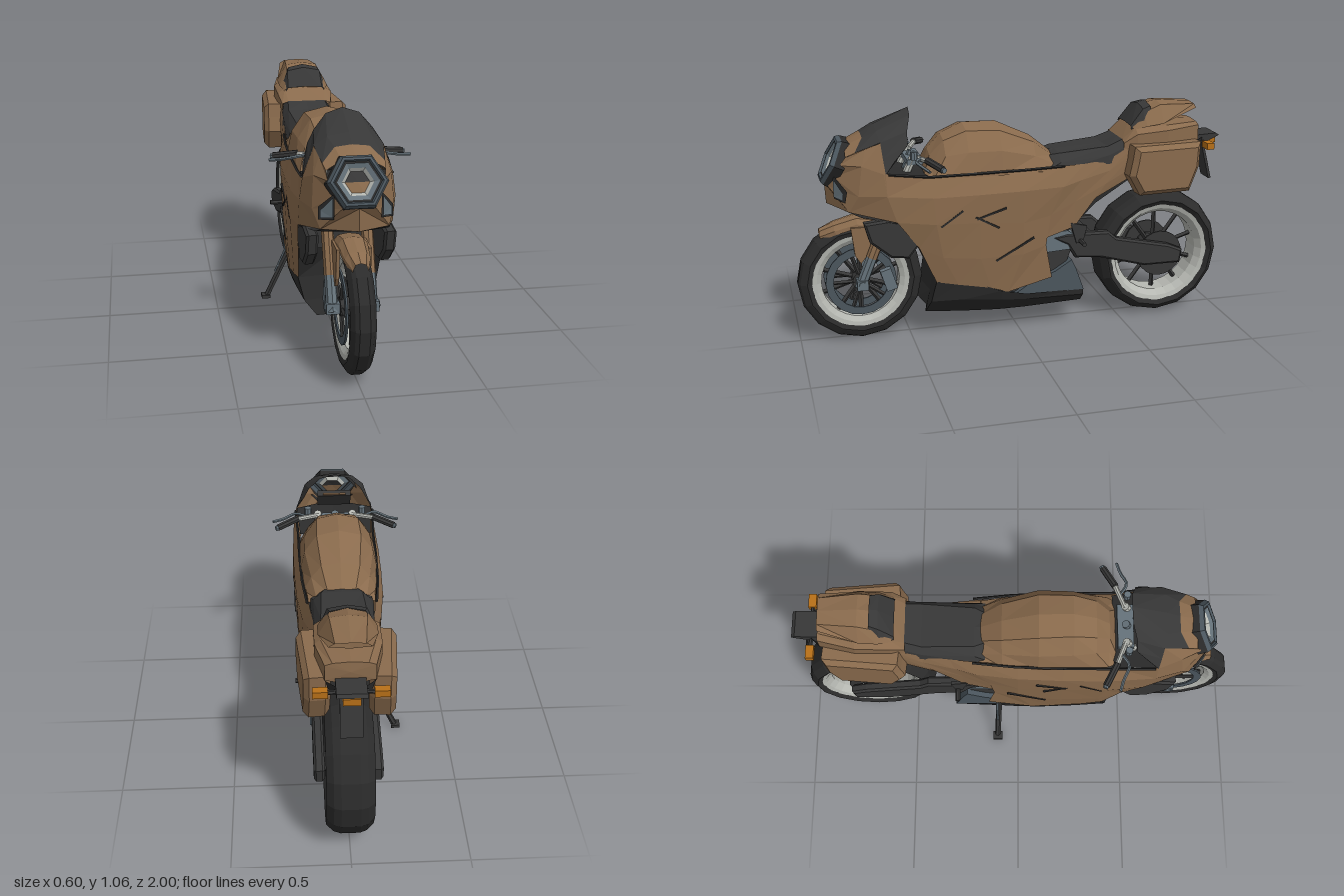
import * as THREE from 'three';

const mat = (name, color) => Object.assign(
  new THREE.MeshStandardMaterial({ color, flatShading: true, side: THREE.DoubleSide }), { name });

export function createModel() {
  const bronze = mat('bronze paint', 0x8a6b4d), black = mat('matt black', 0x2b2b2b),
    dark = mat('charcoal', 0x373737), steel = mat('blue grey steel', 0x66737b),
    gunmetal = mat('gunmetal', 0x4b565e), silver = mat('light alloy', 0xb6b8b2), orange = mat('amber', 0xb87018);
  const root = new THREE.Group();

  const add = (name, geo, m, parent = root) => {
    const mesh = new THREE.Mesh(geo, m);
    mesh.name = name;
    parent.add(mesh);
    return mesh;
  };
  // Skin over rows of [x,y,z] points (front to back, top to bottom), mirrored in x
  const skin = (name, rows, m) => {
    const v = [];
    for (const s of [1, -1]) for (let i = 0; i + 1 < rows.length; i++)
      for (let j = 0; j + 1 < Math.min(rows[i].length, rows[i + 1].length); j++) {
        const a = rows[i][j], b = rows[i][j + 1], c = rows[i + 1][j + 1], d = rows[i + 1][j];
        for (const p of s > 0 ? [a, b, d, b, c, d] : [a, d, b, b, d, c]) v.push(s * p[0], p[1], p[2]);
      }
    const g = new THREE.BufferGeometry();
    g.setAttribute('position', new THREE.Float32BufferAttribute(v, 3));
    g.computeVertexNormals();
    return add(name, g, m);
  };
  const loft = (name, stations, m) =>
    skin(name, stations.map(([z, pts]) => pts.map(([x, y]) => [x, y, z])), m);
  // Side outline of [z,y] points extruded from x0 to x1
  const plate = (name, pts, x0, x1, m, bevel = 0) => {
    const g = new THREE.ExtrudeGeometry(new THREE.Shape(pts.map(p => new THREE.Vector2(...p))), {
      depth: x1 - x0 - 2 * bevel, bevelEnabled: bevel > 0, bevelSize: bevel, bevelOffset: -bevel,
      bevelThickness: bevel, bevelSegments: 1 });
    return add(name, g.rotateY(-Math.PI / 2).translate(x1 - bevel, 0, 0), m);
  };
  const plates = (name, pts, x0, x1, m, bevel) => [
    plate(name + 'Left', pts, x0, x1, m, bevel), plate(name + 'Right', pts, -x1, -x0, m, bevel)];
  const box = (name, x, y, z, w, h, d, m, rx = 0) => {
    const b = add(name, new THREE.BoxGeometry(w, h, d), m);
    b.position.set(x, y, z);
    b.rotation.x = rx;
    return b;
  };
  const rod = (name, a, b, r, m, sides = 8, parent = root) => {
    const p = new THREE.Vector3(...a), q = new THREE.Vector3(...b), dir = q.clone().sub(p);
    const c = add(name, new THREE.CylinderGeometry(r, r, dir.length(), sides), m, parent);
    c.position.copy(p).add(q).multiplyScalar(0.5);
    c.quaternion.setFromUnitVectors(new THREE.Vector3(0, 1, 0), dir.normalize());
    return c;
  };

  // Wheels: tyre, alloy rim, spokes, hub and brake discs
  const wheel = (name, y, z, R, w, discR, discIn, discMat) => {
    const g = new THREE.Group();
    g.name = name;
    g.position.set(0, y, z);
    root.add(g);
    const ring = (part, pts, m, n = 16) => add(part, new THREE.LatheGeometry(
      pts.map(p => new THREE.Vector2(...p)), n).rotateZ(Math.PI / 2), m, g);
    const r = R - 0.07;
    ring('tyre', [[r, -w * .8], [r + .03, -w], [R - .035, -w * .97], [R - .01, -w * .7], [R, -w * .4],
      [R, w * .4], [R - .01, w * .7], [R - .035, w * .97], [r + .03, w], [r, w * .8], [r, -w * .8]], black);
    ring('rim', [[r + .008, -w * .87], [r - .012, -w * .8], [r - .035, -w * .5], [r - .035, w * .5],
      [r - .012, w * .8], [r + .008, w * .87]], silver, 28);
    for (let i = 0; i < 10; i++) {
      const t = (i + .5) * Math.PI / 5, s = Math.sin(t), c = Math.cos(t);
      rod('spoke', [0, s * .03, c * .03], [0, s * (r - .03), c * (r - .03)], .011, dark, 4, g);
    }
    rod('hub', [-w, 0, 0], [w, 0, 0], .04, dark, 12, g);
    rod('axle', [-.115, 0, 0], [.115, 0, 0], .018, steel, 8, g);
    for (const s of [-1, 1]) {
      const a = s * w * .85, b = s * (w * .85 + .008);
      ring('brakeDisc', [[discR, a], [discR, b], [discIn, b], [discIn, a], [discR, a]], discMat, 20);
      for (let i = 0; i < 5; i++) {
        const t = i * Math.PI * .4;
        rod('discArm', [a, Math.sin(t) * .03, Math.cos(t) * .03],
          [a, Math.sin(t) * discIn, Math.cos(t) * discIn], .009, dark, 4, g);
      }
    }
  };
  wheel('frontWheel', .29, .72, .281, .053, .16, .125, gunmetal);
  wheel('rearWheel', .312, -.695, .302, .1, .11, .05, dark);

  // Main side fairing, each row running top to bottom
  skin('sideFairing', [
    [[.185, .82, .62], [.2, .72, .61], [.2, .6, .57], [.185, .47, .475], [.175, .3, .4]],
    [[.175, .79, .42], [.207, .7, .41], [.21, .58, .4], [.197, .42, .37], [.18, .28, .3]],
    [[.17, .79, .2], [.205, .7, .2], [.203, .57, .2], [.195, .4, .2], [.178, .25, .15]],
    [[.16, .79, 0], [.197, .7, 0], [.192, .55, 0], [.185, .4, 0], [.173, .22, .07]],
    [[.145, .79, -.2], [.175, .7, -.19], [.172, .57, -.13], [.17, .43, -.11], [.165, .27, -.14]]], bronze);
  skin('tailSidePanel', [
    [[.145, .79, -.2], [.175, .7, -.19], [.172, .57, -.13], [.168, .46, -.1]],
    [[.135, .79, -.3], [.155, .72, -.28], [.155, .62, -.25], [.15, .5, -.25]],
    [[.125, .80, -.42], [.135, .75, -.42], [.14, .69, -.4], [.14, .62, -.34]],
    [[.12, .88, -.56], [.125, .84, -.56], [.125, .77, -.56], [.12, .71, -.53]]], bronze);
  // Dark seam between fairing and tank
  for (const s of [-1, 1]) {
    const seam = [[.189, .815, .6], [.18, .79, .42], [.178, .79, .2], [.17, .79, -.02], [.152, .79, -.2]];
    for (let i = 0; i < 4; i++)
      rod('seam', [s * seam[i][0], ...seam[i].slice(1)], [s * seam[i + 1][0], ...seam[i + 1].slice(1)], .006, black, 4);
  }
  // Nose cowl and cheeks around the headlight
  skin('noseCowl', [
    [[.118, .885, .775], [.115, .85, .8], [.09, .795, .825], [.065, .75, .85], [0, .75, .86]],
    [[.132, .92, .69], [.158, .85, .71], [.167, .72, .73], [.14, .645, .77], [0, .655, .855]],
    [[.142, .945, .625], [.187, .815, .612], [.2, .72, .61], [.2, .6, .57]]], bronze);
  skin('noseTop', [[[0, .925, .775], [.055, .922, .772], [.118, .885, .775]],
    [[0, .965, .695], [.07, .957, .695], [.126, .904, .735]]], bronze);
  skin('noseUnderside', [[[.141, .645, .77], [0, .655, .855]], [[.15, .62, .72], [0, .63, .78]],
    [[.198, .595, .57], [0, .62, .55]]], black);
  skin('sideLampFrame', [[[.094, .805, .828], [.094, .7, .828]], [[.15, .74, .776], [.15, .69, .786]]], black);
  skin('sideLamp', [[[.1, .79, .83], [.1, .708, .83]], [[.144, .73, .792], [.144, .7, .796]]], steel);
  plates('airInlet', [[.715, .6], [.56, .615], [.47, .56], [.46, .5], [.52, .425], [.6, .435], [.69, .51]], .135, .186, dark, .01);

  // Hexagonal headlight on a sloped face
  const hex = (r, d) => [[0, .866], [.5, .866], [1, 0], [.5, -.866], [0, -.866]].map(([x, u]) =>
    [x * r, .845 + u * r * .88 + d * .38, .815 - u * r * .42 + d * .92]);
  const lens = hex(.05, -.005), mid = [0, .845, .815];
  skin('headlightLens', [[mid, mid, mid], lens.slice(2)], bronze);
  skin('headlightHood', [[mid, mid, mid], lens.slice(0, 3)], dark);
  skin('headlightReflector', [hex(.05, -.005), hex(.064, .01)], silver);
  skin('headlightInnerRing', [hex(.064, .01), hex(.085, .02)], steel);
  skin('headlightGroove', [hex(.085, .02), hex(.094, .02)], black);
  skin('headlightFrame', [hex(.094, .02), hex(.1, .03), hex(.112, .028), hex(.123, .01)], gunmetal);
  skin('headlightSurround', [hex(.123, .01), hex(.128, -.035)], black);

  // Windscreen sunk between the cheeks, with side wings
  skin('windscreen', [
    [[0, .965, .695], [.07, .957, .695], [.126, .904, .735]],
    [[0, 1.0, .635], [.09, .985, .635], [.142, .946, .625]],
    [[0, 1.067, .48], [.07, 1.045, .485], [.122, .985, .505]]], dark);
  skin('windscreenWing', [
    [[.142, .946, .625], [.165, .88, .619], [.188, .815, .612]],
    [[.122, .985, .505], [.15, .93, .508], [.178, .87, .57]]], dark);
  // Cockpit
  skin('cockpitFloor', [[[0, .82, .7], [.183, .82, .62]], [[0, .78, .42], [.17, .785, .42]]], black);
  box('instrumentPanel', 0, .885, .6, .16, .09, .03, dark, -.6);
  box('instrumentScreen', 0, .9, .58, .11, .06, .008, bronze, -.6);
  box('topYoke', 0, .84, .47, .2, .025, .07, steel);
  rod('steeringStem', [0, .78, .5], [0, .87, .47], .018, steel);

  // Tank, seat and tail
  loft('tank', [
    [.43, [[0, .79], [.06, .79], [.1, .785], [.15, .77]]],
    [.4, [[0, .875], [.065, .86], [.11, .81], [.165, .775]]],
    [.34, [[0, .94], [.085, .925], [.135, .865], [.175, .775]]],
    [.24, [[0, .986], [.095, .965], [.15, .88], [.178, .775]]],
    [.09, [[0, .984], [.1, .96], [.155, .88], [.178, .775]]],
    [-.07, [[0, .91], [.085, .895], [.13, .84], [.165, .775]]],
    [-.17, [[0, .83], [.06, .82], [.11, .79], [.15, .77]]]], bronze);
  loft('seat', [
    [-.12, [[0, .83], [.06, .82], [.1, .79], [.14, .77]]],
    [-.19, [[0, .838], [.09, .835], [.125, .8], [.14, .77]]],
    [-.42, [[0, .852], [.1, .855], [.125, .82], [.13, .78]]],
    [-.5, [[0, .885], [.09, .885], [.115, .85], [.125, .8]]],
    [-.57, [[0, .93], [.075, .925], [.1, .88], [.12, .83]]]], dark);
  loft('tailBody', [
    [-.49, [[0, .88], [.09, .88], [.12, .87], [.12, .83], [0, .83]]],
    [-.55, [[0, .94], [.1, .935], [.135, .91], [.135, .84], [0, .82]]],
    [-.7, [[0, .95], [.11, .94], [.135, .92], [.135, .84], [0, .82]]],
    [-.86, [[0, .945], [.07, .94], [.1, .93], [.1, .86], [0, .84]]],
    [-.865, [[0, .9], [0, .9], [0, .9], [0, .9], [0, .9]]]], bronze);
  loft('tailHump', [
    [-.54, [[0, .945], [.09, .94], [.105, .925], [0, .92]]],
    [-.6, [[0, 1.02], [.08, 1.0], [.12, .94], [0, .93]]],
    [-.68, [[0, 1.04], [.075, 1.03], [.12, .95], [0, .93]]],
    [-.85, [[0, 1.025], [.06, 1.022], [.085, 1.008], [0, 1.0]]]], bronze);
  loft('backrestPad', [
    [-.532, [[0, .945], [.085, .94], [.095, .925]]],
    [-.592, [[0, 1.03], [.08, 1.015], [.1, .965]]],
    [-.63, [[0, 1.04], [.07, 1.025], [.085, 1.0]]]], dark);
  skin('undertray', [
    [[.13, .75, -.2], [.13, .47, -.22], [0, .47, -.22]],
    [[.125, .78, -.38], [.125, .6, -.36], [0, .6, -.36]],
    [[.115, .84, -.55], [.11, .7, -.53], [0, .7, -.53]],
    [[.1, .86, -.86], [.08, .8, -.86], [0, .78, -.86]],
    [[.06, .86, -.9], [.05, .82, -.9], [0, .82, -.9]]], black);
  // Panniers, toed in slightly to the rear
  plates('pannier', [[-.52, .865], [-.85, .865], [-.845, .75], [-.8, .635], [-.55, .635], [-.495, .73], [-.51, .8]],
    .095, .203, bronze, .022).forEach((m, i) => {
    const s = i ? -1 : 1;
    m.rotation.y = s * .08;
    m.position.set(s * .047, 0, .012);
  });

  // Tail rack, plate and indicators
  plate('tailBracket', [[-.85, .87], [-.97, .875], [-.985, .865], [-.92, .835], [-.87, .81]], -.06, .06, dark);
  box('tailLamp', 0, .84, -.96, .07, .03, .035, orange);
  box('numberPlate', 0, .75, -.93, .09, .2, .012, dark, .25);
  for (const s of [-1, 1]) {
    rod('indicatorStalk', [0, .84, -.9], [s * .1, .835, -.905], .009, dark, 6);
    box('indicator', s * .12, .835, -.905, .06, .03, .035, orange);
  }

  // Belly pan and lower engine covers
  skin('bellyPan', [
    [[.176, .3, .4], [.152, .2, .42], [.1, .135, .44], [0, .13, .42]],
    [[.18, .3, .27], [.162, .2, .27], [.1, .12, .27], [0, .12, .27]],
    [[.178, .23, .1], [.16, .18, .1], [.1, .11, .1], [0, .11, .1]],
    [[.165, .2, -.02], [.155, .17, -.02], [.1, .11, -.02], [0, .11, -.02]],
    [[.145, .19, -.3], [.14, .16, -.3], [.1, .12, -.3], [0, .12, -.3]]], black);
  skin('bellyFront', [[[0, .13, .42], [.1, .135, .44]], [[0, .2, .4], [.152, .2, .42]],
    [[0, .3, .38], [.176, .3, .4]], [[0, .42, .38], [.184, .46, .465]]], black);
  plates('exhaustCover', [[.04, .19], [-.05, .25], [-.16, .29], [-.24, .34], [-.26, .3], [-.3, .19]], .1, .15, gunmetal);
  box('engine', 0, .41, .06, .25, .42, .46, dark);
  box('frame', 0, .68, .12, .26, .17, .74, dark);
  box('steeringHead', 0, .7, .52, .16, .16, .16, dark);
  plates('pivotPlate', [[-.09, .47], [-.22, .48], [-.27, .45], [-.25, .39], [-.09, .38]], .08, .14, steel);
  plates('lowerPivot', [[-.09, .39], [-.25, .4], [-.2, .27], [-.09, .27]], .06, .125, dark);

  // Swing arm, shock, foot pegs and side stand
  plates('swingArm', [[-.15, .45], [-.22, .465], [-.42, .46], [-.46, .425], [-.72, .37], [-.79, .34],
    [-.78, .275], [-.6, .275], [-.38, .335], [-.26, .345], [-.22, .41]], .1, .146, dark, .01);
  box('swingArmBridge', 0, .42, -.29, .22, .08, .1, dark);
  rod('shock', [0, .42, -.25], [0, .65, -.2], .03, steel);
  rod('shockSpring', [-.122, .48, -.25], [-.122, .5, -.18], .012, orange);
  for (const s of [-1, 1]) {
    rod('footPeg', [s * .13, .43, -.28], [s * .212, .43, -.28], .011, dark, 6);
    plate('pegHanger', [[-.23, .52], [-.31, .5], [-.29, .42], [-.26, .42]], s > 0 ? .14 : -.155, s > 0 ? .155 : -.14, dark);
  }
  rod('sideStand', [-.15, .25, -.09], [-.255, .025, -.1], .014, dark, 6);
  rod('standSpring', [-.165, .25, -.1], [-.215, .14, -.1], .006, steel, 6);
  box('standFoot', -.262, .02, -.1, .04, .015, .045, dark);

  // Front fork, brakes and handlebars
  for (const s of [-1, 1]) {
    rod('forkLower', [s * .083, .27, .73], [s * .083, .43, .665], .025, steel);
    rod('forkUpper', [s * .083, .41, .673], [s * .083, .64, .58], .026, bronze);
    rod('forkTop', [s * .083, .64, .58], [s * .083, .87, .47], .018, silver);
    box('axleClamp', s * .082, .288, .72, .056, .045, .05, steel);
    box('brakeCaliper', s * .078, .3, .6, .035, .1, .05, steel, .3);
    rod('handlebar', [s * .08, .86, .47], [s * .18, .862, .43], .012, silver);
    rod('grip', [s * .18, .865, .43], [s * .275, .845, .38], .016, dark);
    rod('gripEnd', [s * .27, .845, .382], [s * .285, .843, .375], .012, steel);
    add('lever', new THREE.TubeGeometry(new THREE.CatmullRomCurve3([[.14, .865, .45], [.19, .865, .48],
      [.25, .85, .455], [.3, .845, .44]].map(p => new THREE.Vector3(s * p[0], p[1], p[2]))), 8, .007, 5), steel);
    rod('reservoir', [s * .13, .86, .48], [s * .13, .895, .48], .016, steel);
  }

  // Front mudguard above the tyre, with its fork stay
  skin('frontMudguard', [[.895, .538, .03], [.83, .565, .052], [.73, .592, .06], [.63, .575, .062], [.585, .54, .062]]
    .map(([z, y, w]) => [[0, y, z], [w * .7, y - .007, z], [w, y - .03, z], [w + .003, y - .045, z - .01]]), bronze);
  plates('mudguardStay', [[.76, .55], [.64, .55], [.68, .43], [.72, .38], [.745, .42]], .058, .072, bronze);

  // Crease lines on the fairing
  for (const s of [-1, 1])
    for (const [y, z, x, len, tilt] of [[.6, .33, .206, .12, .6], [.57, .17, .202, .12, -.5], [.61, .15, .203, .14, .3], [.43, .04, .19, .2, .5]])
      box('crease', s * x, y, z, .008, .008, len, black, tilt);
  return root;
}
